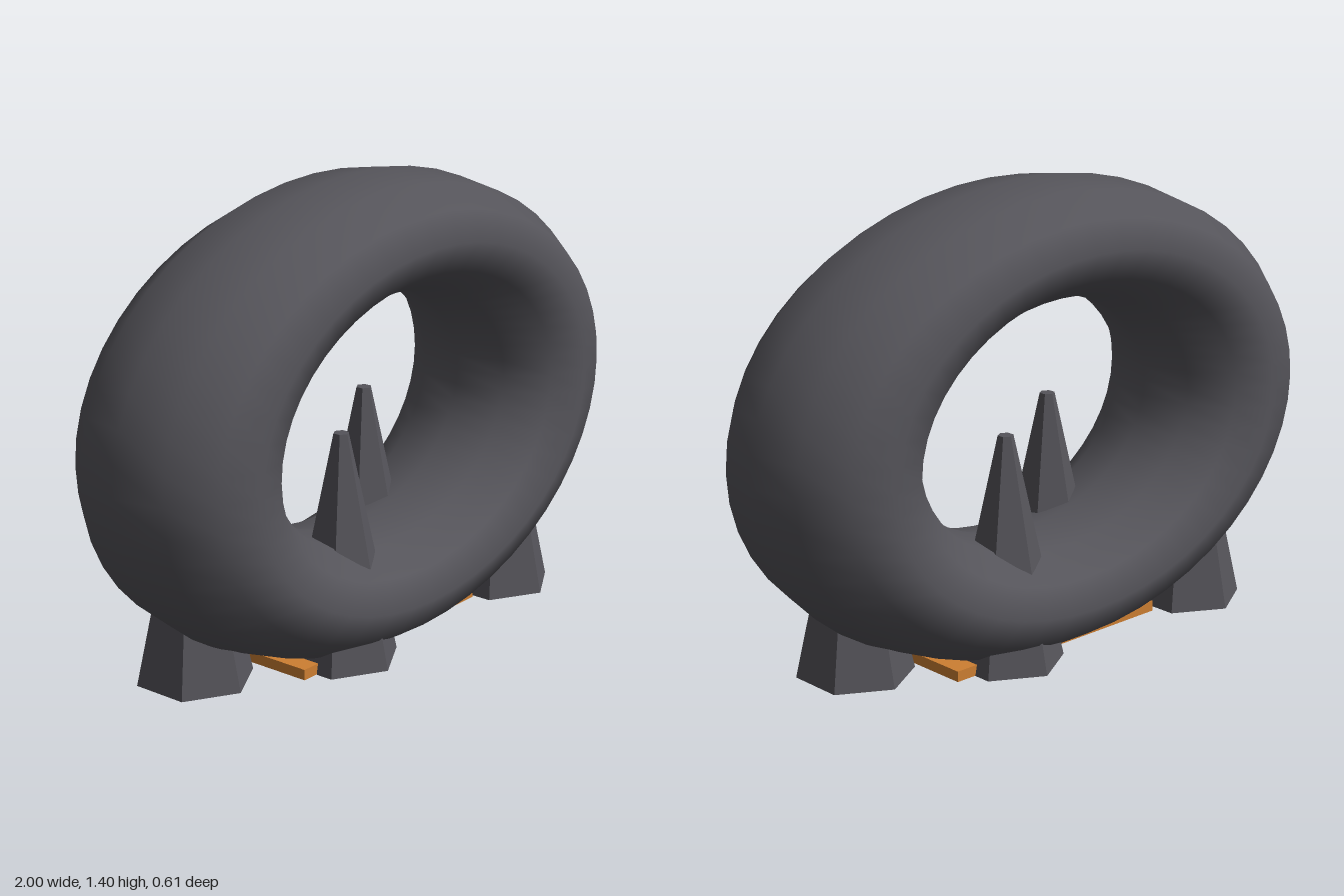
import * as THREE from 'three';

export function createModel() {
  const model = new THREE.Group();
  model.name = 'spikedRing';

  const darkGrey = new THREE.MeshStandardMaterial({ color: 0x55545a });
  darkGrey.name = 'dark grey';
  const bronze = new THREE.MeshStandardMaterial({ color: 0xcd7f32 });
  bronze.name = 'bronze';

  const add = (name, geometry, material, x, y, z) => {
    const mesh = new THREE.Mesh(geometry, material);
    mesh.name = name;
    mesh.position.set(x, y, z);
    model.add(mesh);
    return mesh;
  };

  // Upright oval ring with a twelve-sided tube
  const ring = new THREE.TorusGeometry(0.75, 0.25, 12, 48);
  ring.scale(1, 0.7, 1.21);
  add('ring', ring, darkGrey, 0, 0.7, 0);

  // Four six-sided spikes in a zigzag; their wide bases are the feet
  const bottom = 0.015, top = 0.7;
  const spike = new THREE.CylinderGeometry(0.023, 0.173, top - bottom, 6).toNonIndexed();
  spike.computeVertexNormals();
  for (let i = 0; i < 4; i++) {
    const x = -0.577 + i * 0.38;
    const z = i % 2 ? 0.113 : -0.113;
    add('spike' + (i + 1), spike, darkGrey, x, (top + bottom) / 2, z);
  }

  // Thin plate under the ring
  add('basePlate', new THREE.BoxGeometry(0.8, 0.032, 0.29), bronze, 0, 0.032, 0);

  return model;
}
